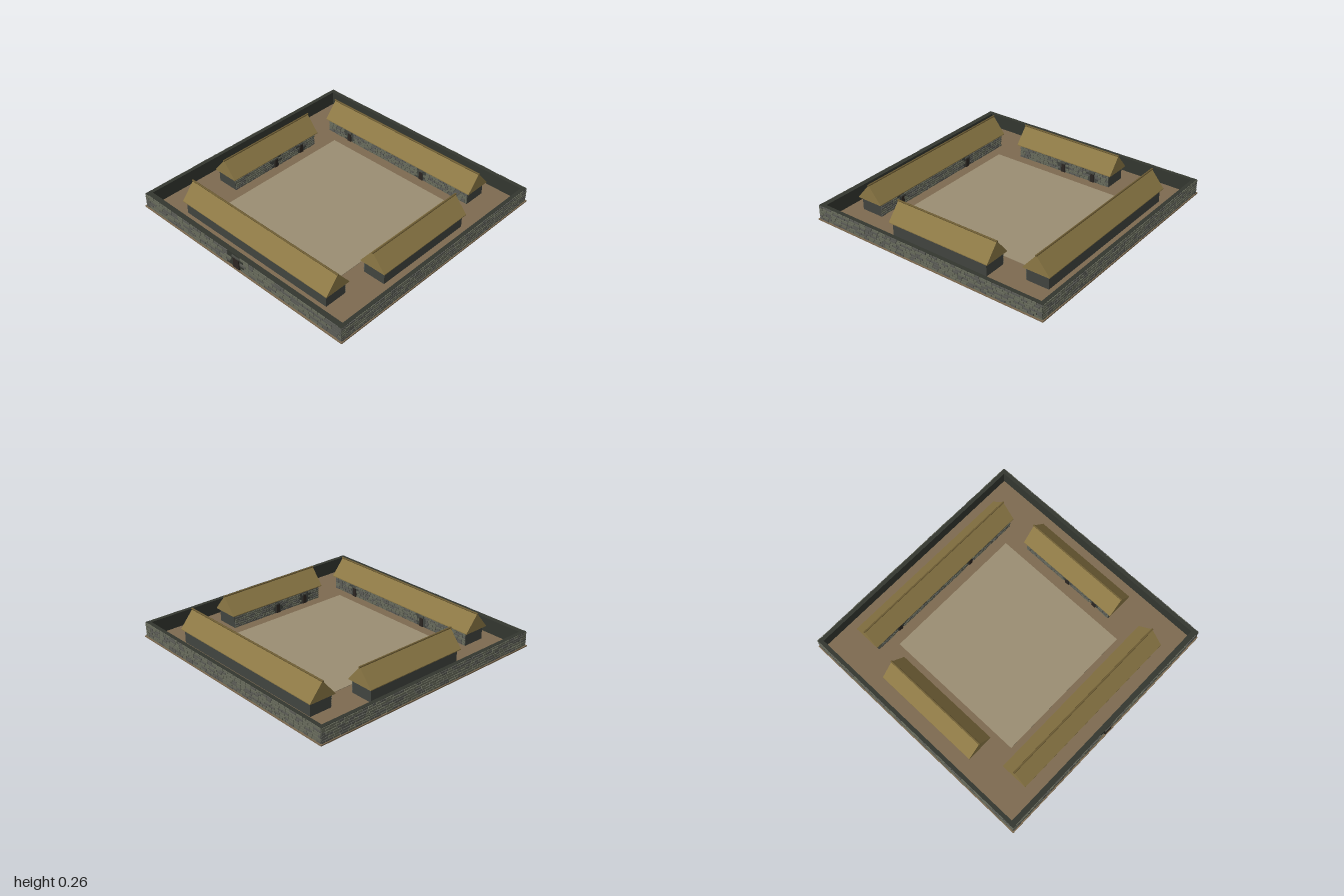
import * as THREE from 'three';
import { mergeGeometries } from 'three/addons/utils/BufferGeometryUtils.js';

const mat = (color) => new THREE.MeshStandardMaterial({ color });
const mats = {
  earth: mat(0x7d6a50), paving: mat(0x9a8d72), wall: mat(0x41443f), mortar: mat(0x33362f),
  stoneA: mat(0x66695a), stoneB: mat(0x5a5b55), thatch: mat(0x8c7845), ridge: mat(0x6e5d34),
  wood: mat(0x2b2622), lintel: mat(0x4a4c45),
};

// small seeded generator
let seed = 7;
const rnd = () => (seed = (seed * 16807) % 2147483647) / 2147483647;

function add(parent, name, geometry, material, x = 0, y = 0, z = 0) {
  const mesh = new THREE.Mesh(geometry, material);
  mesh.name = name;
  mesh.position.set(x, y, z);
  parent.add(mesh);
  return mesh;
}
const box = (parent, name, w, h, d, x, y, z, m) =>
  add(parent, name, new THREE.BoxGeometry(w, h, d), m, x, y, z);

// courses of stones on a face that looks along +z, leaving gaps at the openings
function masonry(parent, length, y0, y1, z, rows, size, openings = []) {
  const lists = [[], []];
  const rowH = (y1 - y0) / rows;
  const gap = 0.004;
  for (let r = 0; r < rows; r++) {
    let x = -length / 2;
    const y = y0 + (r + 0.5) * rowH;
    while (x < length / 2 - 0.005) {
      let w = size * (0.6 + rnd() * 0.9);
      if (x + w > length / 2 - size * 0.4) w = length / 2 - x;
      const cx = x + w / 2;
      const blocked = openings.some((o) => Math.abs(cx - o.x) < w / 2 + o.w / 2 && y - rowH / 2 < o.top);
      if (!blocked) {
        const d = 0.006 + rnd() * 0.003;
        const g = new THREE.BoxGeometry(w - gap, rowH - gap * (0.7 + rnd() * 0.6), d);
        g.rotateZ((rnd() - 0.5) * 0.03);
        g.translate(cx, y, z + d / 2 - 0.002);
        lists[rnd() < 0.6 ? 0 : 1].push(g);
      }
      x += w;
    }
  }
  add(parent, 'facingStones', mergeGeometries(lists[0]), mats.stoneA);
  add(parent, 'darkerStones', mergeGeometries(lists[1]), mats.stoneB);
}

// doorway that narrows toward the top
function doorway(parent, x, y, z, w, h, depth) {
  const s = new THREE.Shape();
  s.moveTo(-w / 2, 0);
  s.lineTo(w / 2, 0);
  s.lineTo(w * 0.38, h);
  s.lineTo(-w * 0.38, h);
  s.closePath();
  const g = new THREE.ExtrudeGeometry(s, { depth, bevelEnabled: false });
  add(parent, 'doorway', g, mats.wood, x, y, z);
  box(parent, 'lintel', w * 1.15, 0.012, depth + 0.003, x, y + h + 0.004, z + depth / 2, mats.lintel);
}

// long thatched hall whose stone facade looks along +z
function hall(name, length, doors) {
  const g = new THREE.Group();
  g.name = name;
  const wallLen = length - 0.04, half = 0.09, eave = 0.115, top = 0.25, roofHalf = 0.108;
  box(g, 'hallWalls', wallLen, 0.122, half * 2, 0, 0.061, 0, mats.wall);
  masonry(g, wallLen, 0.013, 0.118, half, 6, 0.035, doors.map((x) => ({ x, w: 0.036, top: 0.095 })));
  doors.forEach((x) => doorway(g, x, 0.005, half - 0.005, 0.036, 0.08, 0.013));

  // solid gabled roof
  const s = new THREE.Shape();
  s.moveTo(-roofHalf, eave);
  s.lineTo(roofHalf, eave);
  s.lineTo(roofHalf, eave + 0.006);
  s.lineTo(0, top);
  s.lineTo(-roofHalf, eave + 0.006);
  s.closePath();
  const roof = new THREE.ExtrudeGeometry(s, { depth: length, bevelEnabled: false });
  roof.translate(0, 0, -length / 2);
  roof.rotateY(Math.PI / 2);
  add(g, 'thatchRoof', roof, mats.thatch);

  // ridge pole
  const pole = new THREE.CylinderGeometry(0.007, 0.007, length + 0.01, 8);
  pole.rotateZ(Math.PI / 2);
  add(g, 'ridgePole', pole, mats.ridge, 0, 0.249, 0);
  return g;
}

// enclosure wall whose outer face looks along +z
function enclosureWall(name, length, thick, outer, rows, size, openings) {
  const g = new THREE.Group();
  g.name = name;
  box(g, 'wallCore', length, 0.12, thick, 0, 0.065, outer - thick / 2, mats.mortar);
  masonry(g, length, 0.01, 0.125, outer, rows, size, openings);
  return g;
}

export function createModel() {
  seed = 7;
  const model = new THREE.Group();
  model.name = 'walledCourtyard';

  // ground and courtyard
  box(model, 'ground', 2, 0.01, 2, 0, 0.007, 0, mats.earth);
  box(model, 'courtyardPaving', 1.145, 0.006, 1.145, 0, 0.012, 0, mats.paving);

  // enclosure walls: a thicker one at the front with the gate, three plain ones
  const front = enclosureWall('frontWall', 1.98, 0.04, 0.986, 5, 0.062, [{ x: 0, w: 0.07, top: 0.11 }]);
  doorway(front, 0, 0.01, 0.975, 0.066, 0.092, 0.019);
  model.add(front);
  [['leftWall', 1], ['backWall', 2], ['rightWall', 3]].forEach(([name, turn]) => {
    const wall = enclosureWall(name, 1.98, 0.03, 0.988, 6, 0.045);
    wall.rotation.y = (turn * Math.PI) / 2;
    model.add(wall);
  });

  // four halls facing the courtyard
  const halls = [
    ['backHall', 1.45, [-0.48, 0.265], 0, -0.745, 0],
    ['frontHall', 1.45, [-0.48, 0.265], 0, 0.745, Math.PI],
    ['rightHall', 0.875, [0, 0.27], -0.745, -0.005, Math.PI / 2],
    ['leftHall', 0.875, [0, 0.27], 0.745, -0.005, -Math.PI / 2],
  ];
  halls.forEach(([name, length, doors, x, z, turn]) => {
    const h = hall(name, length, doors);
    h.position.set(x, 0, z);
    h.rotation.y = turn;
    model.add(h);
  });
  return model;
}
